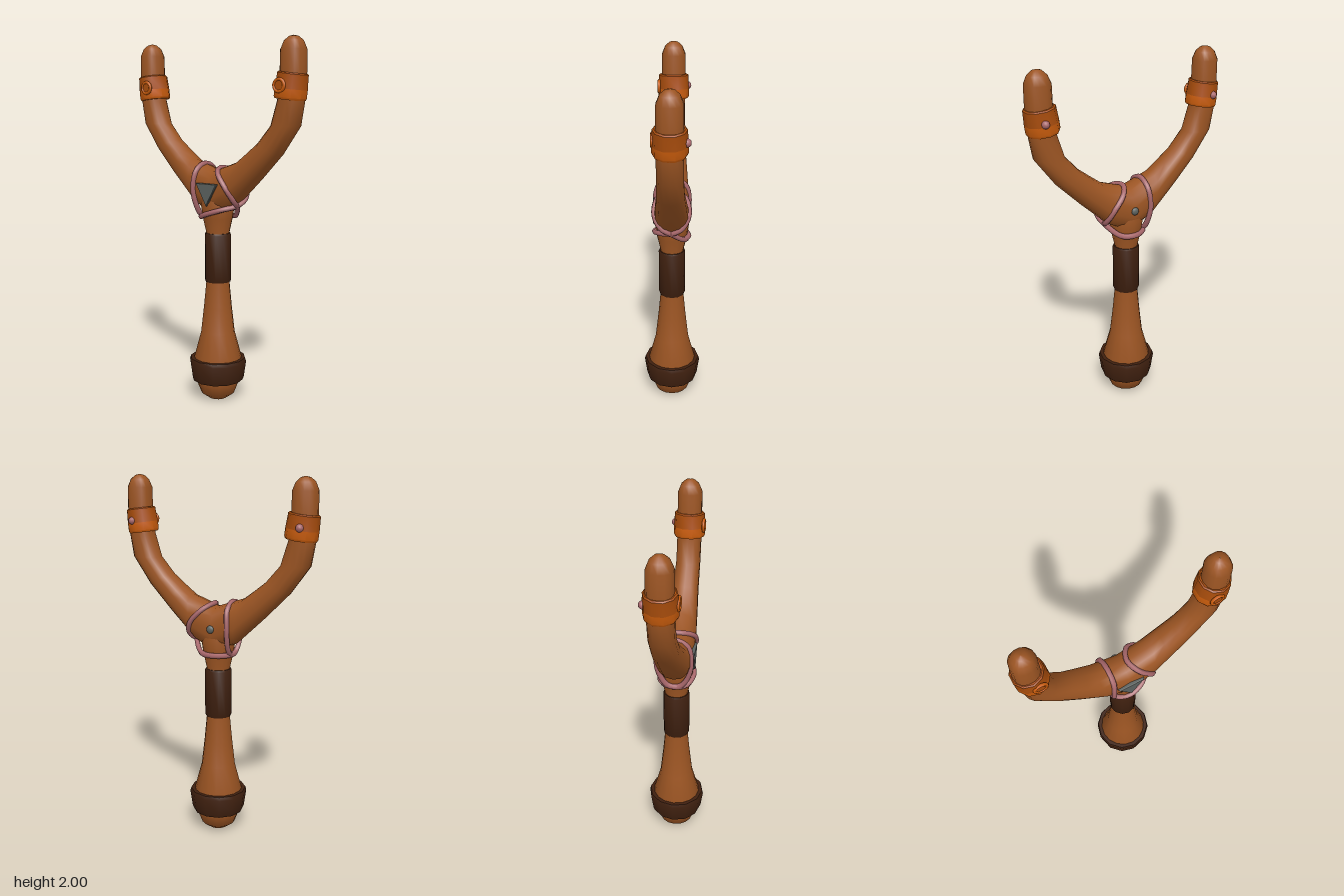
import * as THREE from 'three';
import { toCreasedNormals } from 'three/addons/utils/BufferGeometryUtils.js';

const mat = (name, color) => {
  const m = new THREE.MeshStandardMaterial({ color });
  m.name = name;
  return m;
};

export function createModel() {
  const wood = mat('wood', 0x9c5523);
  const leather = mat('dark leather', 0x3f200f);
  const orange = mat('orange', 0xc95c0c);
  const darkOrange = mat('dark orange', 0xa94d0c);
  const cord = mat('pink cord', 0xa9686c);
  const metal = mat('grey metal', 0x5c625f);

  const model = new THREE.Group();
  model.name = 'slingshot';
  const add = (parent, name, geo, material, x = 0, y = 0, z = 0) => {
    const m = new THREE.Mesh(geo, material);
    m.name = name;
    m.position.set(x, y, z);
    parent.add(m);
    return m;
  };
  const lathe = (pts, sides, crease = 0.7) => toCreasedNormals(
    new THREE.LatheGeometry(pts.map(p => new THREE.Vector2(...p)), sides), crease);

  // Handle, with a rounded pommel and a flare into the fork
  add(model, 'handle', lathe([
    [0, 0], [0.05, 0.003], [0.095, 0.035], [0.12, 0.1], [0.135, 0.24], [0.095, 0.39],
    [0.078, 0.54], [0.065, 0.68], [0.063, 0.95], [0.083, 1.04], [0.095, 1.12], [0.08, 1.2], [0, 1.24],
  ], 16), wood);
  add(model, 'pommelBand', lathe([
    [0.11, 0.113], [0.142, 0.113], [0.149, 0.13], [0.162, 0.222], [0.156, 0.242], [0.13, 0.242],
  ], 12), leather);
  add(model, 'gripWrap', lathe([
    [0.055, 0.68], [0.07, 0.68], [0.074, 0.69], [0.074, 0.945], [0.07, 0.955], [0.055, 0.955],
  ], 12), leather);

  // Fork: each ring is inner x, inner y, outer x, outer y, half depth
  const half = [
    [0, 1.305, 0, 1.05, 0.095],
    [0.16, 1.36, 0.12, 1.11, 0.09],
    [0.22, 1.405, 0.28, 1.26, 0.081],
    [0.29, 1.46, 0.42, 1.4, 0.071],
    [0.37, 1.55, 0.53, 1.55, 0.067],
    [0.412, 1.68, 0.552, 1.68, 0.067],
    [0.425, 1.8, 0.56, 1.8, 0.067],
    [0.427, 1.93, 0.559, 1.93, 0.066],
    [0.444, 1.972, 0.542, 1.972, 0.049],
    [0.468, 1.994, 0.518, 1.994, 0.025],
    [0.492, 2, 0.494, 2, 0.001],
  ];
  const rings = [
    ...half.slice(1).reverse().map(([a, b, c, d, e]) => [-a, b, -c, d, e]),
    ...half,
  ];
  const SIDES = 14, pos = [], idx = [];
  const soft = v => Math.sign(v) * Math.abs(v) ** 0.88;
  rings.forEach(([ix, iy, ox, oy, depth], i) => {
    for (let j = 0; j < SIDES; j++) {
      const t = (j / SIDES) * Math.PI * 2;
      const c = soft(Math.cos(t)) / 2;
      pos.push((ix + ox) / 2 + (ix - ox) * c, (iy + oy) / 2 + (iy - oy) * c, depth * soft(Math.sin(t)));
      if (i < rings.length - 1) {
        const a = i * SIDES + j, b = i * SIDES + (j + 1) % SIDES;
        idx.push(a, b, a + SIDES, b, b + SIDES, a + SIDES);
      }
    }
  });
  const forkGeo = new THREE.BufferGeometry();
  forkGeo.setAttribute('position', new THREE.Float32BufferAttribute(pos, 3));
  forkGeo.setIndex(idx);
  forkGeo.computeVertexNormals();
  add(model, 'fork', forkGeo, wood);

  // Collars near the arm tips, leaning with the arms
  for (const s of [1, -1]) {
    const collar = new THREE.Group();
    collar.name = s > 0 ? 'leftCollar' : 'rightCollar';
    collar.position.set(s * 0.482, 1.75, 0);
    collar.rotation.z = -s * 0.13;
    model.add(collar);
    add(collar, 'collarLowerBand', lathe([
      [0.06, -0.066], [0.082, -0.066], [0.087, -0.055], [0.087, -0.012], [0.06, -0.012],
    ], 10), orange);
    add(collar, 'collarUpperBand', lathe([
      [0.06, -0.012], [0.087, -0.012], [0.083, 0.05], [0.083, 0.062], [0.076, 0.068], [0.06, 0.068],
    ], 10), darkOrange);
    // Eyelet in front, knot behind
    add(collar, 'eyelet', new THREE.TorusGeometry(0.031, 0.009, 8, 14), orange, -s * 0.018, 0, 0.082);
    const hole = add(collar, 'eyeletHole', new THREE.CylinderGeometry(0.027, 0.027, 0.008, 14), darkOrange,
      -s * 0.018, 0, 0.082);
    hole.rotation.x = Math.PI / 2;
    add(collar, 'cordKnot', new THREE.SphereGeometry(0.021, 10, 8), cord, s * 0.015, 0.002, -0.08);
  }

  // Cord bound around the fork
  const bind = (name, pts) => {
    const path = new THREE.CatmullRomCurve3(pts.map(p => new THREE.Vector3(...p)), true, 'centripetal');
    add(model, name, new THREE.TubeGeometry(path, 72, 0.015, 6, true), cord);
  };
  bind('armBinding', [
    [-0.09, 1.337, 0], [-0.092, 1.3, 0.075], [-0.1, 1.2, 0.094], [-0.093, 1.1, 0.07], [-0.09, 1.05, 0.03],
    [-0.09, 1.05, -0.03], [-0.093, 1.1, -0.07], [-0.1, 1.2, -0.094], [-0.092, 1.3, -0.075],
  ]);
  bind('crossBinding', [
    [0.025, 1.318, 0], [0.06, 1.292, 0.074], [0.125, 1.22, 0.092], [0.15, 1.15, 0.055], [0.135, 1.11, 0],
    [0.07, 1.05, -0.068], [0, 1.045, -0.092], [-0.07, 1.045, -0.06], [-0.092, 1.045, 0],
    [-0.07, 1.045, 0.062], [0, 1.068, 0.095], [0.085, 1.095, 0.07],
    [0.138, 1.115, 0], [0.15, 1.15, -0.055], [0.125, 1.22, -0.092], [0.06, 1.292, -0.074],
  ]);

  // Triangular plate in front, rivet behind
  const tri = new THREE.Shape([[-0.07, 1.232], [0, 1.115], [0.07, 1.232]].map(p => new THREE.Vector2(...p)));
  add(model, 'frontPlate', new THREE.ExtrudeGeometry(tri, {
    depth: 0.03, bevelEnabled: true, bevelSize: 0.004, bevelThickness: 0.004, bevelSegments: 1,
  }), metal, 0, 0, 0.07);
  const rivet = add(model, 'backRivet', new THREE.SphereGeometry(0.022, 10, 8), metal, 0, 1.19, -0.095);
  rivet.scale.z = 0.6;

  return model;
}
